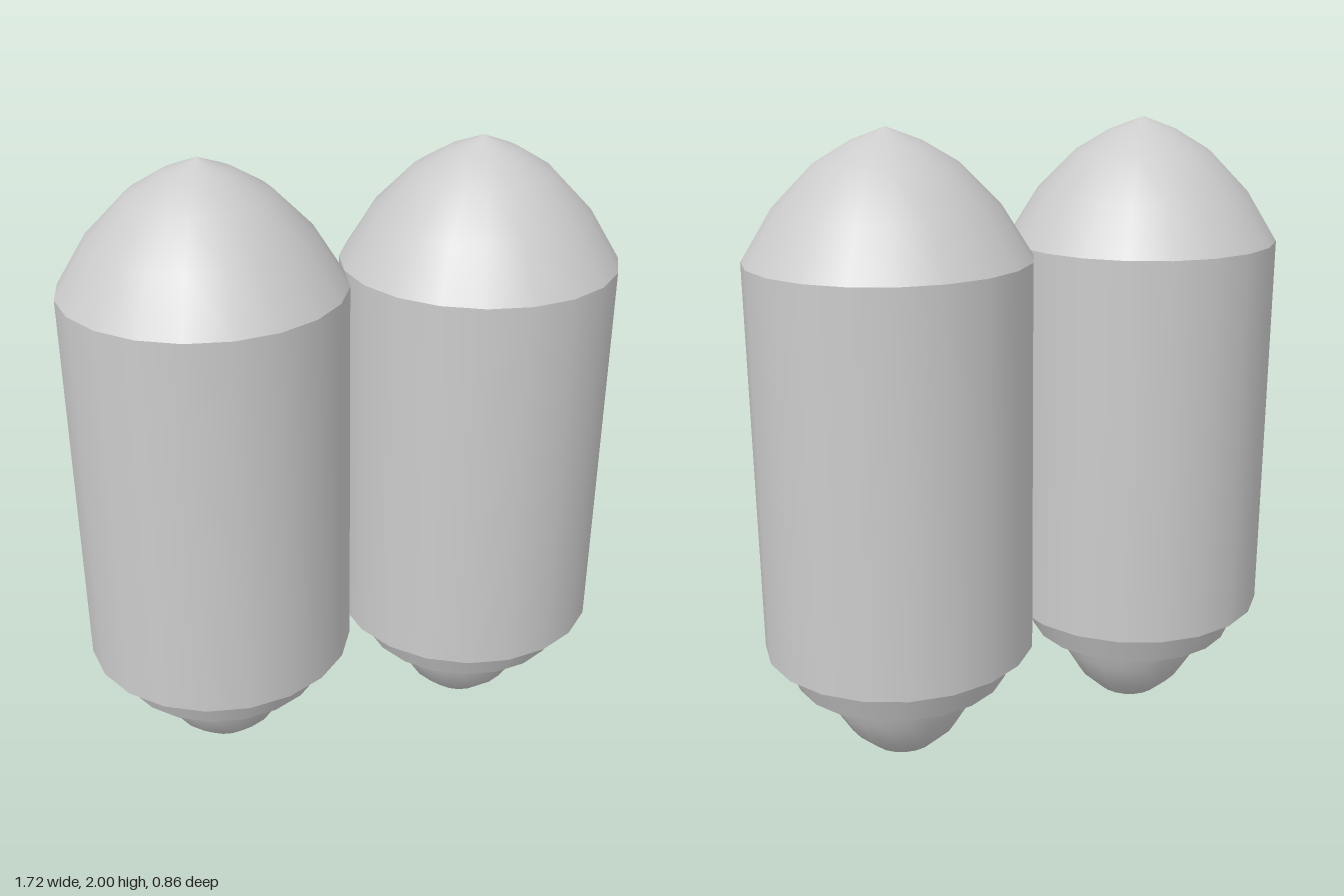
import * as THREE from 'three';

const SIDES = 20;
const RADIUS = 0.43;
const material = new THREE.MeshStandardMaterial({ color: 0xcccccc, side: THREE.DoubleSide });

function addPart(parent, name, geometry, y = 0) {
  const mesh = new THREE.Mesh(geometry, material);
  mesh.name = name;
  mesh.position.y = y;
  parent.add(mesh);
}

// Profiles are [radius, height] pairs listed from bottom to top
function lathe(profile) {
  return new THREE.LatheGeometry(profile.map(([r, y]) => new THREE.Vector2(r, y)), SIDES);
}

function createTank() {
  const tank = new THREE.Group();

  // Pointed dome on top
  addPart(tank, 'dome', lathe([[RADIUS, 1.62], [0.333, 1.775], [0.212, 1.897], [0.106, 1.96], [0, 2]]));

  // Straight cylindrical body
  addPart(tank, 'body', new THREE.CylinderGeometry(RADIUS, RADIUS, 1.23, SIDES), 1.005);

  // Tapered collar under the body
  addPart(tank, 'collar', new THREE.CylinderGeometry(0.387, 0.34, 0.115, SIDES), 0.3325);

  // Rounded tip at the bottom
  addPart(tank, 'tip', lathe([
    [0, 0], [0.055, 0.007], [0.106, 0.026], [0.175, 0.09], [0.233, 0.185], [0.265, 0.275],
  ]));
  return tank;
}

export function createModel() {
  const model = new THREE.Group();
  model.name = 'twinTanks';
  // Two identical tanks touching side by side
  for (const side of [-1, 1]) {
    const tank = createTank();
    tank.name = side > 0 ? 'leftTank' : 'rightTank';
    tank.position.x = side * RADIUS;
    model.add(tank);
  }
  return model;
}
